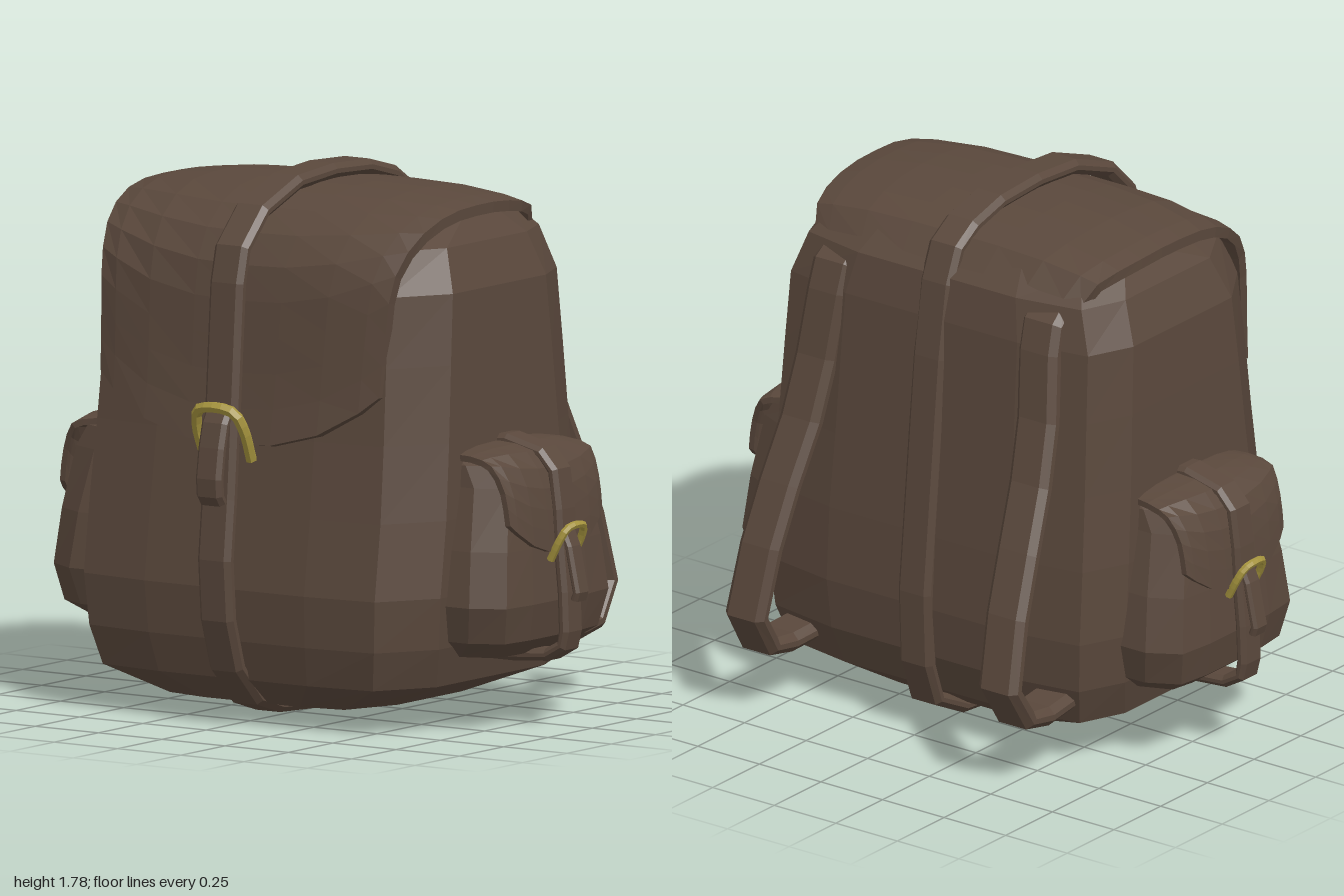
import * as THREE from 'three';

const fabric = new THREE.MeshStandardMaterial({ color: 0x5a483c });
fabric.name = 'brownFabric';
const brass = new THREE.MeshStandardMaterial({ color: 0xa8963f, side: THREE.DoubleSide });
brass.name = 'brass';

const V = (x, y, z) => new THREE.Vector3(x, y, z);

function mesh(name, geometry, material) {
  const flat = geometry.index ? geometry.toNonIndexed() : geometry;
  flat.computeVertexNormals();
  const m = new THREE.Mesh(flat, material);
  m.name = name;
  return m;
}

// Skins a row of closed rings; open ends are capped, and faces are turned outward.
function loft(name, rings, closed = false) {
  const n = rings[0].length, count = rings.length, tris = [];
  const quad = (a, b, c, d) => tris.push([a, b, c], [a, c, d]);
  for (let r = 0; r < (closed ? count : count - 1); r++) {
    const A = rings[r], B = rings[(r + 1) % count];
    for (let i = 0; i < n; i++) {
      const j = (i + 1) % n;
      quad(A[i], A[j], B[j], B[i]);
    }
  }
  if (!closed) {
    const A = rings[0], B = rings[count - 1];
    for (let i = 0; i < n / 2 - 1; i++) {
      quad(A[n - 1 - i], A[n - 2 - i], A[i + 1], A[i]);
      quad(B[i], B[i + 1], B[n - 2 - i], B[n - 1 - i]);
    }
  }
  let volume = 0;
  for (const [a, b, c] of tris) volume += a.dot(b.clone().cross(c));
  const points = tris.flatMap(([a, b, c]) => (volume < 0 ? [a, c, b] : [a, b, c]));
  return mesh(name, new THREE.BufferGeometry().setFromPoints(points), fabric);
}

// Stuffed bag: levels are [y, half width, front z, back z], with chamfered corners.
function bag(name, levels, frontCut, backCut) {
  return loft(name, levels.map(([y, w, f, b]) => {
    const side = [
      [0.45 * w, f], [0.82 * w, f - frontCut * 0.13], [w, f - frontCut],
      [w, b + backCut], [0.9 * w, b + backCut * 0.22], [0.52 * w, b],
    ];
    return [...side.map(([x, z]) => V(x, y, z)),
      ...side.reverse().map(([x, z]) => V(-x, y, z))];
  }));
}

// Flap: path entries are [z, y, half width]; its lower edge is rounded.
function flap(name, path, thick, cut, steps) {
  const curve = new THREE.CatmullRomCurve3(path.map(([z, y, w]) => V(w, y, z)));
  const us = [-1, -0.88, -0.62, -0.3, 0, 0.3, 0.62, 0.88, 1];
  const rings = [];
  for (let r = 0; r <= steps; r++) {
    const outer = [], inner = [];
    for (const u of us) {
      const t = (r / steps) * (1 - cut * Math.abs(u) ** 2.6);
      const p = curve.getPointAt(t), d = curve.getTangentAt(t);
      d.x = 0;
      d.normalize();
      const sink = thick * 1.1 * u ** 4;
      const at = (k) => V(u * p.x, p.y - d.z * k, p.z + d.y * k);
      outer.push(at(sink));
      inner.unshift(at(sink + thick));
    }
    rings.push([...outer, ...inner]);
  }
  return loft(name, rings);
}

// Bevelled strap: points are [z, y, x] along its outer face.
function strap(name, points, half, thick, closed = false) {
  const n = points.length, e = thick * 0.35;
  const section = [
    [-half + e, 0], [half - e, 0], [half, -e], [half, e - thick],
    [half - e, -thick], [-half + e, -thick], [-half, e - thick], [-half, -e],
  ];
  return loft(name, points.map(([z, y, x = 0], i) => {
    const p = points[closed ? (i + n - 1) % n : Math.max(i - 1, 0)];
    const q = points[closed ? (i + 1) % n : Math.min(i + 1, n - 1)];
    const len = Math.hypot(q[0] - p[0], q[1] - p[1]);
    const nz = (p[1] - q[1]) / len, ny = (q[0] - p[0]) / len;
    return section.map(([s, h]) => V(x + s, y + ny * h, z + nz * h));
  }), closed);
}

// Arched buckle: half-arch points mirrored across x.
function buckle(name, half, radius) {
  const pts = [...half.map(([x, y, z]) => V(-x, y, z)),
    ...half.slice(0, -1).reverse().map(([x, y, z]) => V(x, y, z))];
  return mesh(name, new THREE.TubeGeometry(new THREE.CatmullRomCurve3(pts), 16, radius, 6), brass);
}

function sidePocket(name) {
  const g = new THREE.Group();
  g.name = name;
  g.add(bag('pocketBody', [
    [0.24, 0.24, 0.8, 0.6], [0.3, 0.32, 0.885, 0.6], [0.42, 0.35, 0.91, 0.6],
    [0.6, 0.32, 0.895, 0.6], [0.8, 0.265, 0.87, 0.6], [0.87, 0.255, 0.83, 0.6],
    [0.9, 0.23, 0.76, 0.6],
  ], 0.12, 0.03));
  g.add(flap('pocketFlap', [
    [0.63, 0.925, 0.25], [0.75, 0.925, 0.27], [0.84, 0.9, 0.28],
    [0.89, 0.81, 0.265], [0.91, 0.7, 0.26], [0.92, 0.58, 0.25],
  ], 0.02, 0.2, 8));
  g.add(strap('pocketStrap', [
    [0.62, 0.945], [0.72, 0.95], [0.86, 0.915], [0.92, 0.85], [0.938, 0.72], [0.945, 0.6],
    [0.96, 0.45], [0.965, 0.32], [0.95, 0.26], [0.88, 0.22], [0.75, 0.21], [0.62, 0.21],
  ], 0.05, 0.04));
  g.add(strap('pocketStrapEnd', [
    [0.945, 0.65], [0.968, 0.6], [0.985, 0.52], [1.0, 0.45], [0.99, 0.42],
  ], 0.034, 0.028));
  g.add(buckle('pocketBuckle', [
    [0.062, 0.555, 0.91], [0.062, 0.62, 0.945], [0.045, 0.66, 0.965], [0, 0.67, 0.972],
  ], 0.013));
  return g;
}

export function createModel() {
  const pack = new THREE.Group();
  pack.name = 'backpack';

  // Main bag and lid
  pack.add(bag('mainBody', [
    [0.06, 0.42, 0.49, -0.29], [0.15, 0.65, 0.6, -0.43], [0.28, 0.685, 0.635, -0.475],
    [0.45, 0.7, 0.648, -0.49], [0.7, 0.7, 0.615, -0.475], [0.95, 0.69, 0.585, -0.45],
    [1.2, 0.68, 0.56, -0.43], [1.43, 0.67, 0.535, -0.41], [1.57, 0.615, 0.49, -0.38],
    [1.65, 0.55, 0.3, -0.3],
  ], 0.22, 0.2));
  pack.add(flap('lidFlap', [
    [-0.35, 1.6, 0.54], [-0.29, 1.675, 0.57], [-0.1, 1.72, 0.61], [0.1, 1.73, 0.62],
    [0.3, 1.71, 0.62], [0.46, 1.63, 0.6], [0.55, 1.5, 0.575], [0.58, 1.3, 0.56],
    [0.6, 1.1, 0.55], [0.63, 0.92, 0.55],
  ], 0.035, 0.12, 14));

  // Belt around the middle, with buckle and hanging end
  pack.add(strap('centreStrap', [
    [0.7, 0.75], [0.72, 0.55], [0.705, 0.35], [0.65, 0.18], [0.53, 0.06], [0.4, 0.02],
    [0, 0], [-0.3, 0.025], [-0.45, 0.1], [-0.505, 0.25], [-0.515, 0.5], [-0.475, 0.9],
    [-0.435, 1.3], [-0.395, 1.55], [-0.345, 1.67], [-0.25, 1.73], [-0.1, 1.77],
    [0.1, 1.78], [0.3, 1.765], [0.5, 1.69], [0.62, 1.57], [0.65, 1.45], [0.668, 1.2], [0.685, 0.95],
  ], 0.065, 0.05, true));
  pack.add(strap('strapEnd', [
    [0.69, 1.04], [0.715, 1.0], [0.735, 0.92], [0.75, 0.82], [0.745, 0.76], [0.725, 0.73],
  ], 0.05, 0.04));
  pack.add(buckle('mainBuckle', [
    [0.092, 0.875, 0.625], [0.092, 0.98, 0.67], [0.07, 1.035, 0.695], [0, 1.05, 0.705],
  ], 0.019));

  // Pair of shoulder straps and side pockets
  for (const s of [1, -1]) {
    const side = s > 0 ? 'left' : 'right';
    pack.add(strap(side + 'ShoulderStrap', [
      [-0.4, 0.2, 0.51 * s], [-0.54, 0.19, 0.52 * s], [-0.66, 0.215, 0.52 * s],
      [-0.75, 0.36, 0.515 * s], [-0.69, 0.6, 0.5 * s], [-0.61, 0.8, 0.485 * s],
      [-0.52, 1.0, 0.465 * s], [-0.46, 1.2, 0.45 * s], [-0.425, 1.42, 0.43 * s],
      [-0.395, 1.52, 0.425 * s], [-0.33, 1.57, 0.42 * s],
    ], 0.078, 0.065));
    const pocket = sidePocket(side + 'Pocket');
    pocket.rotation.y = s * Math.PI / 2;
    pocket.position.z = 0.045;
    pack.add(pocket);
  }
  return pack;
}
